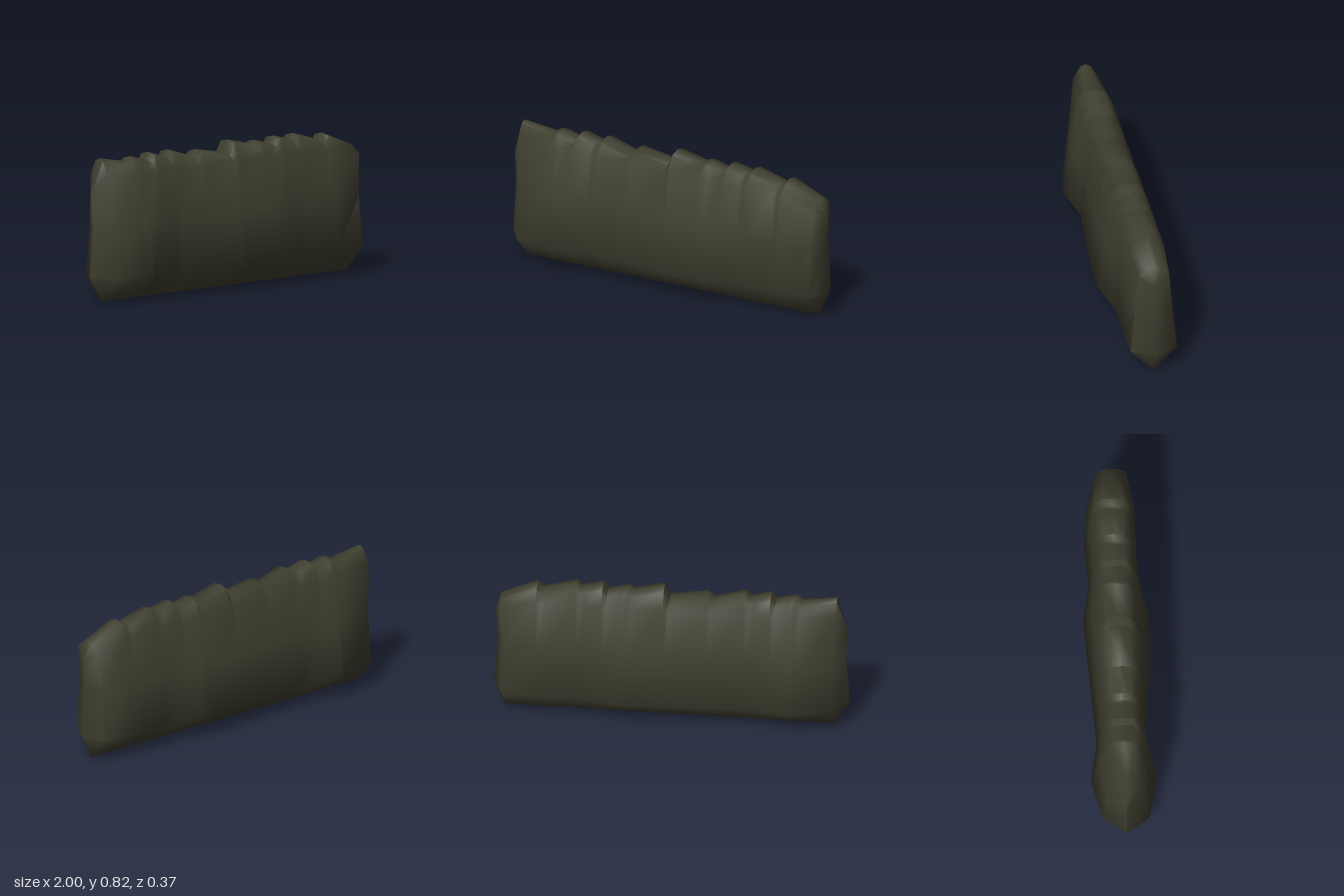
import * as THREE from 'three';
import { toCreasedNormals } from 'three/addons/utils/BufferGeometryUtils.js';

// Each profile is a list of [x, value] knots.
const topEdge = [
  [-0.93, 0.81], [-0.73, 0.775], [-0.7, 0.8], [-0.585, 0.77], [-0.56, 0.81], [-0.44, 0.775],
  [-0.41, 0.81], [-0.23, 0.755], [-0.2, 0.79], [0.01, 0.755], [0.04, 0.822], [0.22, 0.78],
  [0.24, 0.8], [0.36, 0.77], [0.385, 0.81], [0.51, 0.78], [0.535, 0.81], [0.725, 0.755],
  [0.755, 0.79], [0.96, 0.71],
];
const frontWidth = [[-0.91, 0.13], [-0.67, 0.182], [-0.44, 0.13], [0.03, 0.175], [0.28, 0.182], [0.51, 0.13], [0.94, 0.13]];
const backWidth = [[-0.91, 0.13], [-0.68, 0.187], [-0.47, 0.145], [0.26, 0.187], [0.48, 0.145], [0.7, 0.16], [0.94, 0.135]];
const shoulderWidth = [[-0.91, 0.07], [-0.67, 0.097], [0.755, 0.097], [0.94, 0.085]];
const ridgeWidth = [[-0.91, 0.03], [-0.67, 0.058], [0.755, 0.058], [0.94, 0.04]];

function sample(knots, x) {
  if (x <= knots[0][0]) return knots[0][1];
  for (let i = 1; i < knots.length; i++) {
    const [x0, a] = knots[i - 1], [x1, b] = knots[i];
    if (x <= x1) return a + (b - a) * (x - x0) / (x1 - x0);
  }
  return knots[knots.length - 1][1];
}

// Cross-section: bottom edge, up the front, over the ridge, down the back.
function section(x) {
  const top = sample(topEdge, x);
  const shoulderY = Math.min(0.72, top - 0.05);
  const f = sample(frontWidth, x), b = sample(backWidth, x);
  const s = sample(shoulderWidth, x), r = sample(ridgeWidth, x);
  const t = (0.43 - 0.14) / (shoulderY - 0.14);
  const lower = x < 0 ? Math.max(x, -0.91) : Math.min(x, 0.94);
  return [
    [lower, 0, 0],
    [lower, 0.14, f], [lower, 0.43, f + (s - f) * t], [x, shoulderY, s],
    [x, top - 0.014, r], [x, top, 0], [x, top - 0.014, -r],
    [x, shoulderY, -s], [lower, 0.43, -b + (b - s) * t], [lower, 0.14, -b],
  ];
}

// Each end closes on an upright edge in the middle plane.
function endEdge(side) {
  const low = [side, 0.14, 0], mid = [side * 0.98, 0.43, 0], high = [side * 0.99, 0.6, 0];
  return [low, low, mid, high, high, high, high, high, mid, low];
}

function wallGeometry() {
  const xs = [...topEdge, ...frontWidth, ...backWidth].map((k) => k[0])
    .filter((x) => x === -0.93 || x === 0.96 || (x > -0.9 && x < 0.93));
  const stations = [...new Set(xs)].sort((a, b) => a - b);
  const rings = [endEdge(-1), ...stations.map(section), endEdge(1)];

  const positions = [];
  const same = (p, q) => p.every((v, k) => Math.abs(v - q[k]) < 1e-6);
  const triangle = (a, b, c) => {
    if (!same(a, b) && !same(b, c) && !same(a, c)) positions.push(...a, ...b, ...c);
  };
  for (let i = 0; i < rings.length - 1; i++) {
    const n = rings[i].length;
    for (let j = 0; j < n; j++) {
      const k = (j + 1) % n;
      triangle(rings[i][j], rings[i + 1][j], rings[i + 1][k]);
      triangle(rings[i][j], rings[i + 1][k], rings[i][k]);
    }
  }
  const geometry = new THREE.BufferGeometry();
  geometry.setAttribute('position', new THREE.Float32BufferAttribute(positions, 3));
  return toCreasedNormals(geometry, 1.2);
}

export function createModel() {
  const group = new THREE.Group();
  group.name = 'jaggedWall';
  const stone = new THREE.MeshStandardMaterial({ color: 0x3f3f30 });
  stone.name = 'dark olive stone';

  // Tapered slab with a notched crest
  const slab = new THREE.Mesh(wallGeometry(), stone);
  slab.name = 'wallSlab';
  group.add(slab);
  return group;
}
